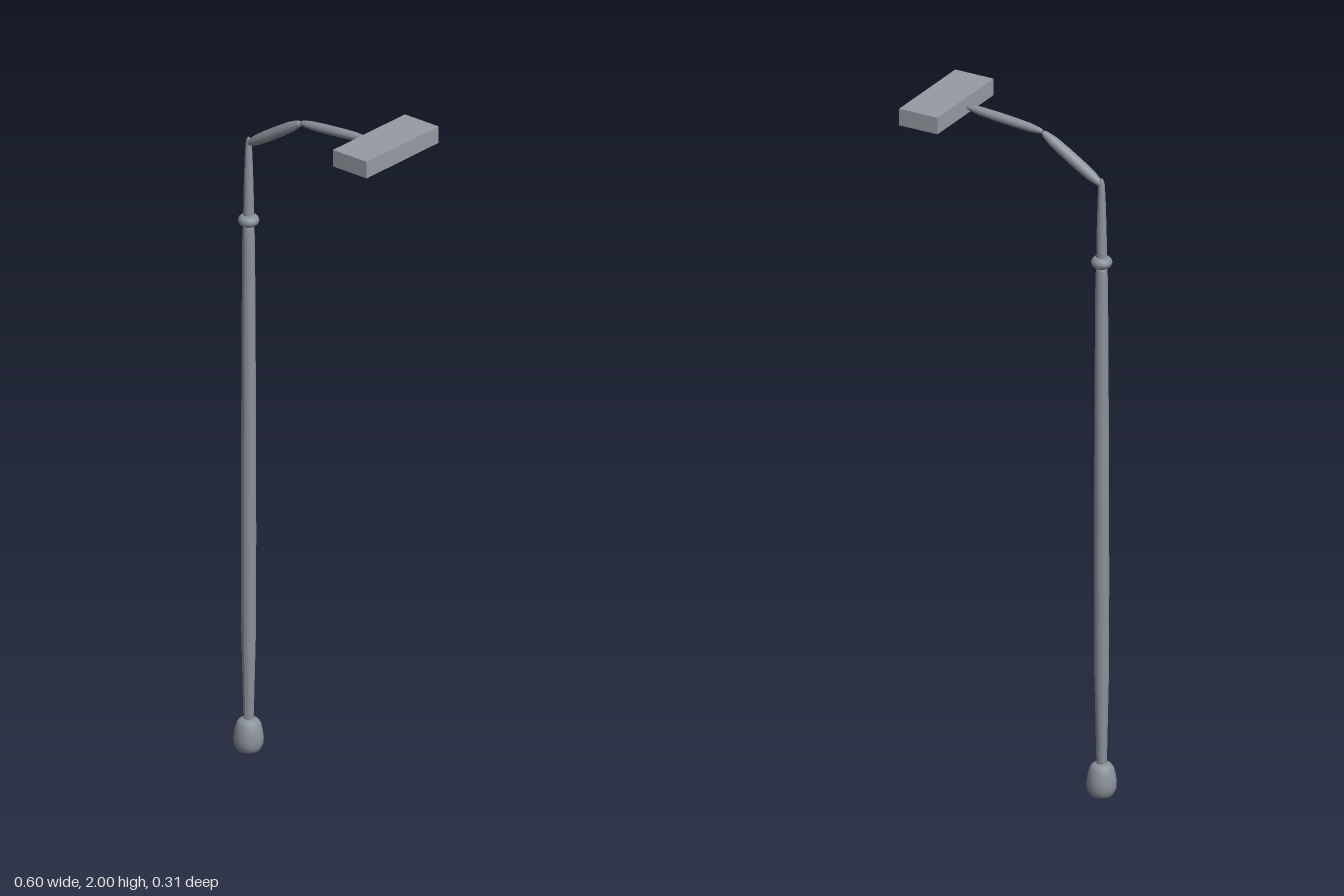
import * as THREE from 'three';

const POLE_X = -0.257;
const poleSteel = new THREE.MeshStandardMaterial({ color: 0x8a929a, side: THREE.DoubleSide });
const headSteel = new THREE.MeshStandardMaterial({ color: 0x969ca4 });
const warmLight = new THREE.MeshStandardMaterial({ color: 0xffe6b0 });

// Round part from [radius, height] pairs, listed bottom to top;
// every second side is pressed in on the fluted rows
function turned(name, profile, flutedRows = []) {
  const points = profile.map(([r, y]) => new THREE.Vector2(r, y));
  const geometry = new THREE.LatheGeometry(points, 20);
  const pos = geometry.attributes.position;
  for (let side = 1; side < 20; side += 2) {
    for (const row of flutedRows) {
      const i = side * profile.length + row;
      pos.setXYZ(i, pos.getX(i) * 0.88, pos.getY(i), pos.getZ(i) * 0.88);
    }
  }
  if (flutedRows.length) geometry.computeVertexNormals();
  const mesh = new THREE.Mesh(geometry, poleSteel);
  mesh.name = name;
  return mesh;
}

// Slim tube between two points with fluted, narrowing ends
function taperedArm(name, from, to, radius, tip) {
  const a = new THREE.Vector3(...from);
  const dir = new THREE.Vector3(...to).sub(a);
  const len = dir.length();
  const arm = turned(name, [
    [0, 0], [tip * 0.6, 0.001], [tip, 0.01], [radius * 0.92, len * 0.18], [radius, len * 0.38],
    [radius, len * 0.62], [radius * 0.92, len * 0.82], [tip, len - 0.01], [tip * 0.6, len - 0.001], [0, len],
  ], [2, 7]);
  arm.position.copy(a);
  arm.quaternion.setFromUnitVectors(new THREE.Vector3(0, 1, 0), dir.normalize());
  return arm;
}

function box(name, size, position, material) {
  const mesh = new THREE.Mesh(new THREE.BoxGeometry(...size), material);
  mesh.name = name;
  mesh.position.set(...position);
  return mesh;
}

export function createModel() {
  const model = new THREE.Group();
  model.name = 'streetLamp';

  // Upright parts share the pole axis
  const post = new THREE.Group();
  post.name = 'post';
  post.position.x = POLE_X;
  post.add(
    turned('base', [
      [0, 0], [0.031, 0], [0.036, 0.008], [0.041, 0.02], [0.042, 0.038],
      [0.039, 0.06], [0.034, 0.08], [0.027, 0.09], [0.016, 0.094], [0, 0.094],
    ]),
    turned('pole', [
      [0.0145, 0.085], [0.0165, 0.17], [0.0205, 0.36], [0.0212, 0.65],
      [0.0205, 1.0], [0.019, 1.35], [0.0175, 1.55], [0.016, 1.58], [0.013, 1.592], [0, 1.592],
    ], [0, 1]),
    turned('collar', [
      [0, 1.587], [0.018, 1.588], [0.026, 1.594], [0.03, 1.604],
      [0.027, 1.613], [0.019, 1.62], [0, 1.621],
    ]),
    turned('upperPole', [
      [0.015, 1.61], [0.0145, 1.67], [0.013, 1.73], [0.0115, 1.79],
      [0.009, 1.838], [0.005, 1.852], [0, 1.857],
    ], [3, 4]),
  );
  model.add(post);

  // Two arm sections reaching to the lamp head
  model.add(
    taperedArm('lowerArm', [-0.258, 1.836, 0], [-0.069, 1.954, 0], 0.0165, 0.0105),
    taperedArm('upperArm', [-0.068, 1.955, 0], [0.171, 1.976, 0], 0.0135, 0.009),
  );

  // Lamp head with the light panel underneath
  const head = new THREE.Group();
  head.name = 'lampHead';
  head.add(
    box('housing', [0.122, 0.05, 0.306], [0.238, 1.975, 0], headSteel),
    box('lightPanel', [0.088, 0.008, 0.245], [0.238, 1.948, 0], warmLight),
  );
  model.add(head);
  return model;
}
